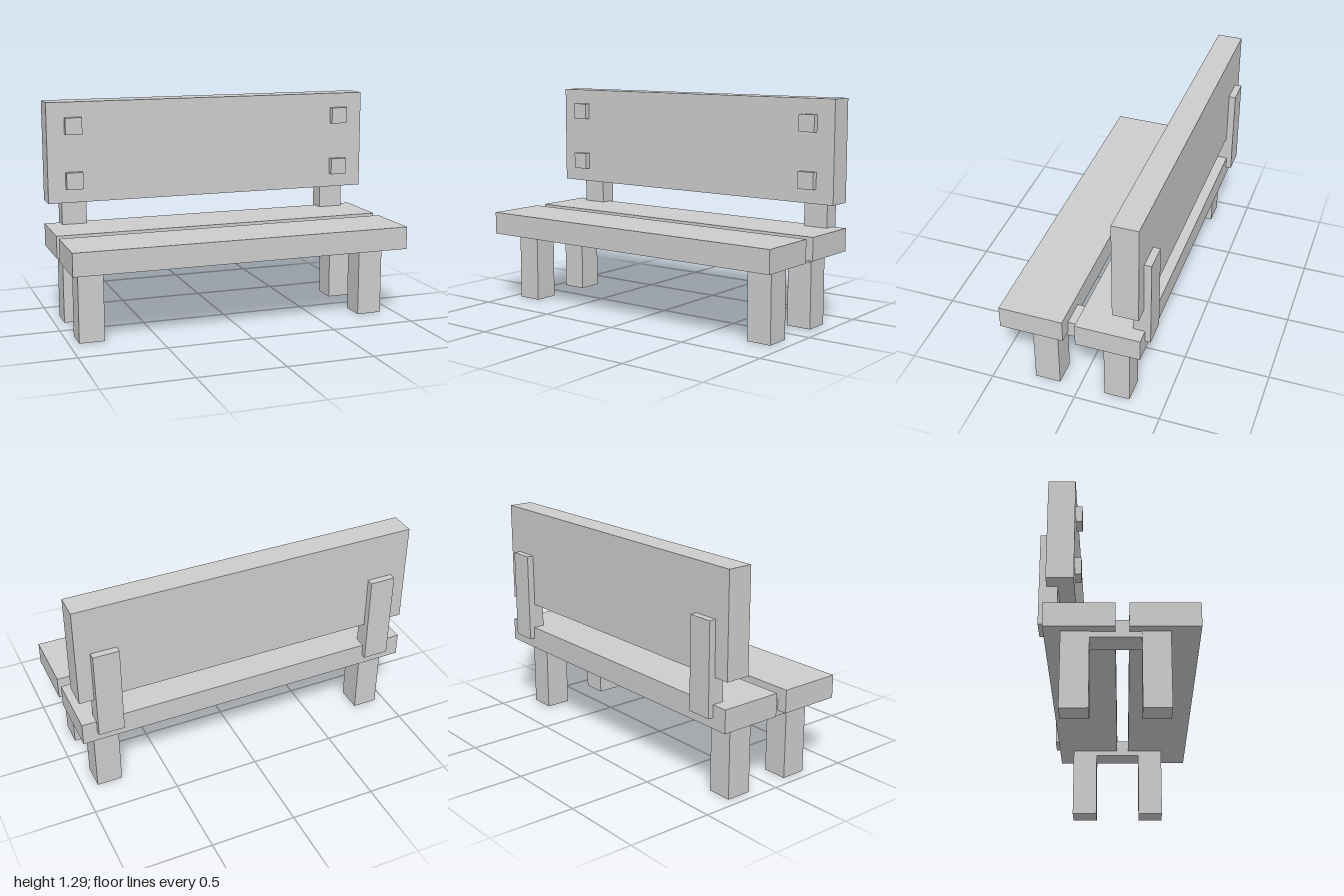
import * as THREE from 'three';

export function createModel() {
  const bench = new THREE.Group();
  bench.name = 'bench';
  const material = new THREE.MeshStandardMaterial({ color: 0xcccccc, flatShading: true });

  // Box given by its [min, max] range on each axis
  function addBox(name, [x0, x1], [y0, y1], [z0, z1]) {
    const mesh = new THREE.Mesh(new THREE.BoxGeometry(x1 - x0, y1 - y0, z1 - z0), material);
    mesh.position.set((x0 + x1) / 2, (y0 + y1) / 2, (z0 + z1) / 2);
    mesh.name = name;
    bench.add(mesh);
  }

  // Planks
  const length = [-1, 1];
  addBox('frontSeatPlank', length, [0.422, 0.555], [0.053, 0.42]);
  addBox('rearSeatPlank', length, [0.422, 0.555], [-0.387, -0.018]);
  addBox('backrest', length, [0.702, 1.293], [-0.378, -0.232]);

  // The two ends of the frame are slightly uneven in x
  const ends = [
    { side: 'left', leg: [0.767, 0.916], brace: [0.767, 0.916], post: [0.767, 0.916], peg: [0.79, 0.89] },
    { side: 'right', leg: [-0.943, -0.797], brace: [-0.94, -0.792], post: [-0.906, -0.757], peg: [-0.896, -0.797] },
  ];
  for (const { side, leg, brace, post, peg } of ends) {
    // Legs, tops let into the seat planks
    addBox(`${side}FrontLeg`, leg, [0, 0.486], [0.118, 0.266]);
    addBox(`${side}RearLeg`, leg, [0, 0.486], [-0.299, -0.15]);
    // Brace joining the legs under the seat
    addBox(`${side}Brace`, brace, [0.39, 0.486], [-0.15, 0.118]);
    // Upright carrying the backrest
    addBox(`${side}BackPost`, post, [0.483, 1.014], [-0.418, -0.319]);
    // Square pegs on the face of the backrest
    addBox(`${side}LowerPeg`, peg, [0.784, 0.883], [-0.232, -0.198]);
    addBox(`${side}UpperPeg`, peg, [1.106, 1.204], [-0.232, -0.198]);
  }
  return bench;
}
